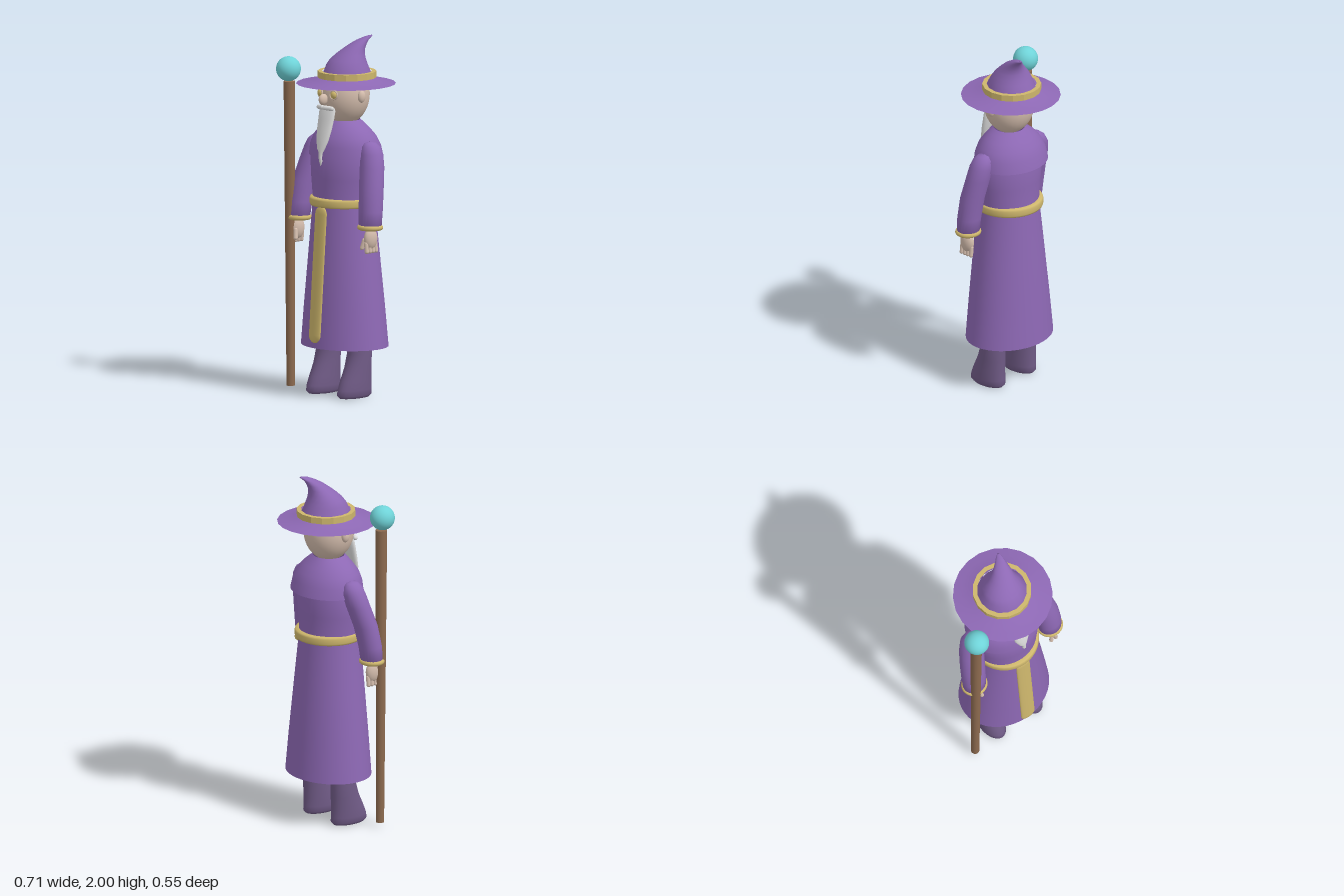
import * as THREE from 'three';

const mat = (name, color, double) => {
  const m = new THREE.MeshStandardMaterial({ color });
  m.name = name;
  if (double) m.side = THREE.DoubleSide;
  return m;
};

// Skin over horizontal ellipses, listed bottom to top: [y, centreX, centreZ, radiusX, radiusZ]
function loft(rings, seg = 32) {
  const pos = [], idx = [];
  rings.forEach(([y, cx, cz, rx, rz], i) => {
    for (let j = 0; j < seg; j++) {
      const a = (j / seg) * Math.PI * 2;
      pos.push(cx + rx * Math.cos(a), y, cz + rz * Math.sin(a));
      if (i === rings.length - 1) continue;
      const p = i * seg + j, q = i * seg + ((j + 1) % seg);
      idx.push(p, p + seg, q, q, p + seg, q + seg);
    }
  });
  const g = new THREE.BufferGeometry();
  g.setAttribute('position', new THREE.Float32BufferAttribute(pos, 3));
  g.setIndex(idx);
  g.computeVertexNormals();
  return g;
}

export function createModel() {
  const cloth = mat('purpleCloth', 0x8d68b4, true);
  const gold = mat('gold', 0xcdb66c);
  const skin = mat('skin', 0xd3bcac);
  const hair = mat('whiteHair', 0xdcdcdc);
  const boot = mat('darkPurple', 0x6f5a85);
  const wood = mat('wood', 0x8c6a4f);
  const crystal = mat('crystal', 0x6fd3d8);

  const model = new THREE.Group();
  const body = new THREE.Group();
  body.name = 'figure';
  body.position.x = 0.008;
  model.add(body);

  const add = (parent, name, geo, material, p = [0, 0, 0], s = [1, 1, 1], r = [0, 0, 0]) => {
    const m = new THREE.Mesh(geo, material);
    m.name = name;
    m.position.set(...p);
    m.scale.set(...s);
    m.rotation.set(...r);
    parent.add(m);
    return m;
  };
  const ball = new THREE.SphereGeometry(1, 28, 20);

  // Robe, open at the hem
  add(body, 'robe', loft([
    [0.28, 0, 0.01, 0.265, 0.22], [0.5, 0, 0.012, 0.243, 0.206], [0.8, 0, 0.015, 0.21, 0.184],
    [1.06, 0, 0.018, 0.182, 0.164], [1.12, 0, 0.018, 0.182, 0.162], [1.22, 0, 0.018, 0.195, 0.164],
    [1.34, 0, 0.016, 0.205, 0.168], [1.42, 0, 0.01, 0.17, 0.14]], 40), cloth);
  add(body, 'shoulderCape', loft([
    [1.34, 0, 0, 0.222, 0.19], [1.40, 0, 0.004, 0.214, 0.178], [1.45, 0, 0.008, 0.19, 0.158],
    [1.49, 0, 0.01, 0.155, 0.128], [1.52, 0, 0.012, 0.118, 0.104], [1.54, 0, 0.012, 0.088, 0.086]], 40), cloth);

  // Belt and hanging sash
  add(body, 'belt', loft([
    [1.062, 0, 0.015, 0.17, 0.165], [1.064, 0, 0.015, 0.187, 0.185], [1.075, 0, 0.015, 0.192, 0.19],
    [1.1, 0, 0.015, 0.192, 0.19], [1.111, 0, 0.015, 0.187, 0.185], [1.113, 0, 0.015, 0.17, 0.165]], 40), gold);
  add(body, 'sash', new THREE.CapsuleGeometry(0.045, 0.67, 8, 20), gold,
    [0, 0.69, 0.212], [1, 1, 0.28], [-0.07, 0, 0]);

  // Limbs on both sides
  for (const s of [1, -1]) {
    const side = s > 0 ? 'left' : 'right';
    const f = s > 0 ? 0 : 0.035;               // the staff arm reaches further forward
    add(body, side + 'Leg', loft([
      [0.005, s * 0.125, 0.055, 0.002, 0.002], [0.005, s * 0.125, 0.055, 0.055, 0.1],
      [0.02, s * 0.125, 0.055, 0.067, 0.114], [0.05, s * 0.125, 0.053, 0.07, 0.11],
      [0.1, s * 0.125, 0.044, 0.068, 0.099], [0.17, s * 0.125, 0.027, 0.066, 0.083],
      [0.25, s * 0.125, 0.015, 0.064, 0.072], [0.5, s * 0.115, 0.01, 0.064, 0.07]], 24), boot);

    add(body, side + 'Sleeve', loft([
      [0.972, s * 0.27, 0.07 + f, 0.002, 0.002], [0.97, s * 0.27, 0.07 + f, 0.066, 0.06],
      [1.06, s * 0.268, 0.064 + f * 0.9, 0.069, 0.064], [1.18, s * 0.258, 0.05 + f * 0.6, 0.071, 0.066],
      [1.3, s * 0.238, 0.026 + f * 0.2, 0.07, 0.066], [1.37, s * 0.225, 0.016, 0.063, 0.064],
      [1.41, s * 0.215, 0.014, 0.05, 0.053], [1.43, s * 0.208, 0.014, 0.03, 0.034],
      [1.435, s * 0.204, 0.014, 0.002, 0.002]], 24), cloth);
    add(body, side + 'Cuff', new THREE.TorusGeometry(0.061, 0.014, 10, 28), gold,
      [s * 0.27, 0.972, 0.07 + f], [1, 0.93, 1], [Math.PI / 2, 0, 0]);

    // Hand with four fingers and a thumb
    const hand = new THREE.Group();
    hand.name = side + 'Hand';
    hand.position.set(s * 0.276, 0.91, 0.072 + f);
    body.add(hand);
    add(hand, 'palm', ball, skin, [0, 0, 0], [0.028, 0.06, 0.044]);
    for (let i = 0; i < 4; i++) {
      add(hand, 'finger', new THREE.CapsuleGeometry(0.012, 0.045, 4, 10), skin,
        [s * 0.004, -0.048, -0.034 + i * 0.023], [1, 1, 1], [0, 0, s * 0.12]);
    }
    add(hand, 'thumb', new THREE.CapsuleGeometry(0.012, 0.045, 4, 10), skin,
      [-s * 0.022, -0.03, 0.036], [1, 1, 1], [-0.2, 0, -s * 0.2]);
  }

  // Head and face
  const head = new THREE.Group();
  head.name = 'head';
  body.add(head);
  add(head, 'skull', ball, skin, [0, 1.68, 0.012], [0.141, 0.17, 0.14]);
  add(head, 'nose', ball, skin, [0, 1.665, 0.172], [0.019, 0.031, 0.03]);
  for (const s of [1, -1]) {
    add(head, 'ear', ball, skin, [s * 0.145, 1.68, 0.018], [0.018, 0.034, 0.024]);
    add(head, 'eye', ball, gold, [s * 0.053, 1.692, 0.14], [0.022, 0.022, 0.018]);
    add(head, 'eyelid', new THREE.TorusGeometry(0.024, 0.005, 8, 20), skin,
      [s * 0.053, 1.692, 0.144], [1, 1, 1], [0, s * 0.3, 0]);
    add(head, 'eyebrow', new THREE.CapsuleGeometry(0.009, 0.045, 4, 10), hair,
      [s * 0.055, 1.728, 0.138], [1, 1, 1], [0, s * 0.35, Math.PI / 2 + s * 0.12]);
    add(head, 'moustache', new THREE.CapsuleGeometry(0.013, 0.045, 4, 12), hair,
      [s * 0.03, 1.618, 0.163], [1, 1, 1], [0, s * 0.3, Math.PI / 2 - s * 0.05]);
  }
  add(head, 'beard', loft([
    [1.295, 0.004, 0.195, 0.001, 0.001], [1.32, 0.006, 0.196, 0.01, 0.007], [1.345, 0.002, 0.196, 0.012, 0.009],
    [1.37, 0.003, 0.193, 0.012, 0.011], [1.39, 0, 0.188, 0.027, 0.016], [1.44, 0, 0.177, 0.045, 0.021],
    [1.5, 0, 0.162, 0.054, 0.024], [1.56, 0, 0.148, 0.059, 0.024], [1.6, 0, 0.14, 0.06, 0.023],
    [1.62, 0, 0.138, 0.052, 0.015]], 24), hair);

  // Pointed hat
  const hat = new THREE.Group();
  hat.name = 'hat';
  body.add(hat);
  add(hat, 'brim', loft([
    [1.738, 0, 0, 0.275, 0.276], [1.747, 0, 0, 0.23, 0.232],
    [1.758, 0, -0.002, 0.185, 0.187], [1.775, 0, -0.005, 0.14, 0.142]], 22), cloth);
  add(hat, 'crown', loft([
    [1.765, 0, -0.005, 0.143, 0.143], [1.8, 0.004, -0.004, 0.132, 0.132], [1.84, 0.004, -0.004, 0.118, 0.114],
    [1.87, 0.006, -0.009, 0.104, 0.097], [1.9, 0.014, -0.02, 0.083, 0.078], [1.925, 0.023, -0.034, 0.065, 0.063],
    [1.95, 0.034, -0.053, 0.05, 0.05], [1.975, 0.046, -0.08, 0.033, 0.036], [1.992, 0.059, -0.108, 0.018, 0.025],
    [1.999, 0.065, -0.125, 0.008, 0.013], [2, 0.066, -0.128, 0.001, 0.001]], 20), cloth);
  // Square-edged hat band
  const band = new THREE.LatheGeometry([[0.138, 1.771], [0.163, 1.771], [0.163, 1.806], [0.138, 1.806]]
    .map(([x, y]) => new THREE.Vector2(x, y)), 16).toNonIndexed();
  band.computeVertexNormals();
  add(hat, 'hatBand', band, gold, [0, 0, -0.007]);

  // Staff with crystal ball
  const staff = new THREE.Group();
  staff.name = 'staff';
  model.add(staff);
  add(staff, 'staffShaft', new THREE.CylinderGeometry(0.032, 0.023, 1.7, 16), wood,
    [-0.285, 0.88, 0.149], [1, 1, 1], [0.006, 0, 0]);
  add(staff, 'staffOrb', ball, crystal, [-0.286, 1.8, 0.16], [0.069, 0.069, 0.069]);

  return model;
}
